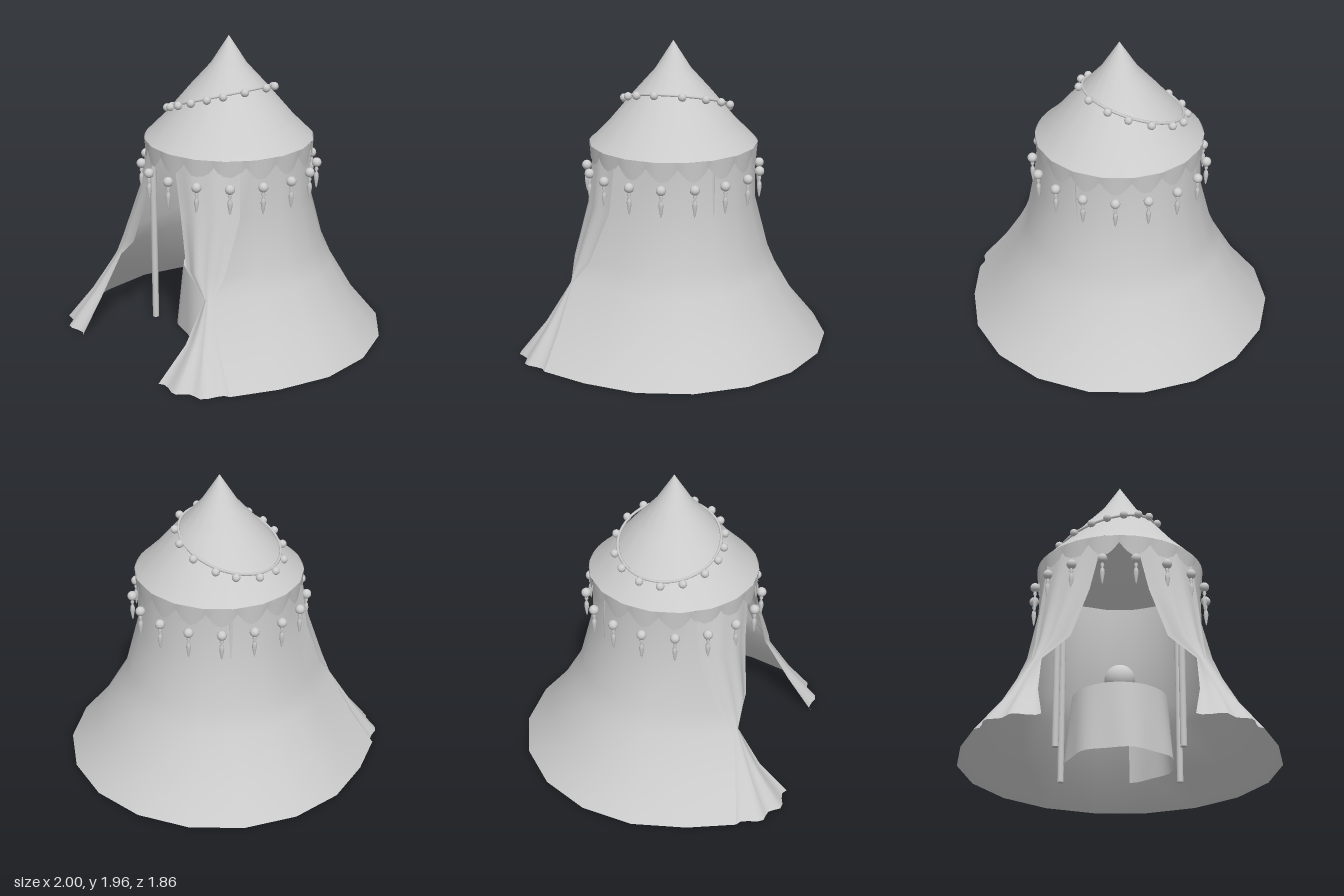
import * as THREE from 'three';

const CZ = 0.045; // the tent's axis sits slightly forward
const cloth = new THREE.MeshStandardMaterial({ color: 0xcccccc, side: THREE.DoubleSide });
const solid = new THREE.MeshStandardMaterial({ color: 0xcccccc });
const rad = THREE.MathUtils.degToRad;
const V = (x, y, z) => new THREE.Vector3(x, y, z);
// point around the axis, angle 0 = front
const polar = (r, a, y) => V(r * Math.sin(a), y, CZ + r * Math.cos(a));

function add(parent, name, geometry, material, x = 0, y = 0, z = 0) {
  const mesh = new THREE.Mesh(geometry, material);
  mesh.name = name;
  mesh.position.set(x, y, z);
  parent.add(mesh);
  return mesh;
}

// smooth surface through rows of points
function loft(rows) {
  const n = rows[0].length, index = [];
  for (let i = 0; i < rows.length - 1; i++)
    for (let j = 0; j < n - 1; j++) {
      const a = i * n + j, b = a + n;
      index.push(a, b, a + 1, a + 1, b, b + 1);
    }
  const g = new THREE.BufferGeometry().setFromPoints(rows.flat());
  g.setIndex(index);
  g.computeVertexNormals();
  return g;
}

const lathe = (pts, n, start = 0, length = Math.PI * 2) =>
  new THREE.LatheGeometry(pts.map(p => new THREE.Vector2(...p)), n, start, length);

export function createModel() {
  const model = new THREE.Group();
  model.name = 'tent';

  // y, wall radius, seam x, seam z, curtain inner edge x, z, curtain bulge, ripple
  const levels = [
    [1.3, 0.52, 0.45, 0.31, 0.1, 0.55, 0.045, 0],
    [0.95, 0.525, 0.49, 0.34, 0.18, 0.56, 0.05, 0.005],
    [0.62, 0.61, 0.51, 0.47, 0.29, 0.6, 0.05, 0.01],
    [0.48, 0.67, 0.52, 0.58, 0.46, 0.585, 0.015, 0],
    [0.22, 0.82, 0.66, 0.63, 0.465, 0.74, 0.05, 0.01],
    [0, 1.0, 0.83, 0.68, 0.43, 0.92, 0.08, 0.022],
  ];

  // flared wall, open at the front
  add(model, 'wall', loft(levels.map(([y, r, sx, sz]) => {
    const row = [V(sx, y, sz)];
    for (let a = 70; a <= 290; a += 20) row.push(polar(r, rad(a), y));
    row.push(V(-sx, y, sz));
    return row;
  })), cloth);

  // curtains tied back at both sides of the doorway
  for (const s of [1, -1]) {
    const rows = levels.map(([y, , sx, sz, ix, iz, bulge, ripple]) => {
      const len = Math.hypot(sx - ix, iz - sz);
      const nx = (iz - sz) / len, nz = (sx - ix) / len;
      return Array.from({ length: 13 }, (_, j) => {
        const t = j / 12;
        const o = bulge * Math.sin(Math.PI * t) - ripple * Math.sin(Math.PI * 5 * t);
        return V(s * (sx + (ix - sx) * t + nx * o), y, sz + (iz - sz) * t + nz * o);
      });
    });
    add(model, s > 0 ? 'leftCurtain' : 'rightCurtain', loft(rows), cloth);
  }

  // pointed roof
  const roof = [[0.54, 1.31], [0.41, 1.44], [0.25, 1.63], [0.115, 1.78], [0, 1.96]];
  add(model, 'roof', lathe(roof, 18, rad(10)), cloth, 0, 0, CZ);

  // scalloped valance under the eaves
  const COUNT = 17, STEP = Math.PI * 2 / COUNT;
  const top = [], bottom = [];
  for (let i = 0; i <= COUNT * 8; i++) {
    const a = i * STEP / 8;
    top.push(polar(0.538, a, 1.31));
    bottom.push(polar(0.53, a, 1.265 - 0.085 * Math.abs(Math.sin(i * Math.PI / 8))));
  }
  add(model, 'valance', loft([top, bottom]), cloth);

  // beads with drop pendants, one below each scallop
  const bead = new THREE.SphereGeometry(0.031, 16, 12);
  const drop = lathe([[0, -0.175], [0.006, -0.16], [0.016, -0.1], [0.013, -0.075],
    [0.005, -0.06], [0.013, -0.045], [0.006, -0.025]], 10);
  for (let i = 0; i < COUNT; i++) {
    const tassel = new THREE.Group();
    tassel.name = 'tassel';
    tassel.position.copy(polar(0.56, (i + 0.5) * STEP, 1.14));
    add(tassel, 'tasselBead', bead, solid);
    add(tassel, 'tasselDrop', drop, cloth);
    model.add(tassel);
  }

  // slanted beaded cord around the roof
  const cordPoint = (r, a) => {
    const x = -0.09 + r * Math.sin(a);
    return V(x, 1.54 + 0.335 * (x + 0.09), 0.04 - r * Math.cos(a));
  };
  const loop = Array.from({ length: 24 }, (_, i) => cordPoint(0.32, i * Math.PI / 12).add(V(0, 0.01, 0)));
  add(model, 'roofCord', new THREE.TubeGeometry(
    new THREE.CatmullRomCurve3(loop, true), 72, 0.009, 6, true), solid);
  const cordBead = new THREE.SphereGeometry(0.026, 16, 12);
  for (const a of [0, 24, 46, 72, 102, 125, 142, 160, 178, 195, 216, 241, 264, 287, 313, 334]) {
    const p = cordPoint(0.343, rad(a));
    add(model, 'cordBead', cordBead, solid, p.x, p.y, p.z);
  }

  // four inner poles
  const pole = new THREE.CylinderGeometry(0.021, 0.021, 1.31, 10);
  for (const x of [-0.38, 0.38])
    for (const z of [-0.33, 0.33]) add(model, 'pole', pole, solid, x, 0.655, CZ + z);

  // round table with a draped cloth, open at the back
  add(model, 'tableTop', new THREE.CylinderGeometry(0.3, 0.3, 0.015, 24), solid, 0, 0.423, CZ);
  const drape = [0, 0.2, 0.43].map(y => Array.from({ length: 37 }, (_, j) => {
    const a = rad(-95 + 265 * j / 36);
    const r = 0.335 - 0.035 * y / 0.43 + 0.012 * (1 - y / 0.43) * Math.sin(a * 7);
    return polar(r, a, y);
  }));
  add(model, 'tableCloth', loft(drape), cloth);

  // ball on its stand
  add(model, 'ballStand', new THREE.CylinderGeometry(0.065, 0.1, 0.07, 20), solid, 0, 0.465, CZ);
  add(model, 'ball', new THREE.SphereGeometry(0.097, 24, 16), solid, 0, 0.565, CZ);

  return model;
}
